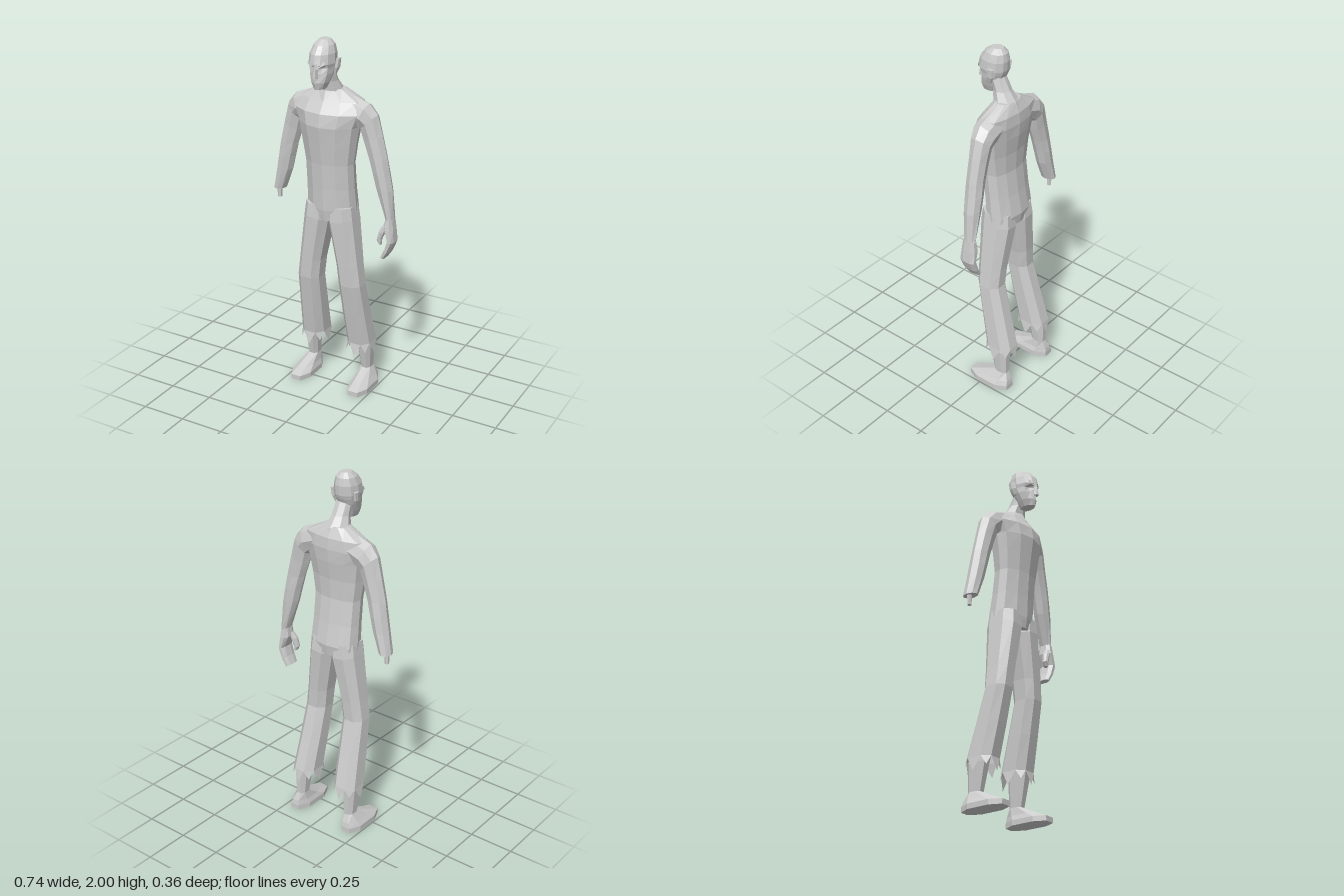
import * as THREE from 'three';

const material = new THREE.MeshStandardMaterial({ color: 0xcccccc, flatShading: true, side: THREE.DoubleSide });

// Cross-section outlines: [across, depth] from -1 to 1, going front -> left -> back -> right
const mirrored = (half) => [...half, ...half.slice(1, -1).reverse().map(([u, v]) => [-u, v])];
const ROUND = mirrored([[0, 1], [0.7, 0.72], [1, 0], [0.7, -0.72], [0, -1]]);
const BOXY = [[0.5, 1], [1, 0.5], [1, -0.5], [0.45, -1], [-0.45, -1], [-1, -0.5], [-1, 0.5], [-0.5, 1]];
const CHEST = mirrored([[0, 1], [0.5, 0.82], [0.9, 0.38], [1, -0.1], [0.9, -0.65], [0.5, -0.9], [0, -1]]);
const skull = (eye) => mirrored([[0, 1], [0.42, eye], [0.82, 0.5], [1, -0.1], [0.82, -0.65], [0.4, -0.95], [0, -1]]);

// One ring spanning from an outer to an inner point, between a front and a back depth
function ring([ox, oy, ix, iy, zf, zb], outline) {
  return outline.map(([u, v]) => new THREE.Vector3(
    (ox + ix) / 2 + (u * (ox - ix)) / 2,
    (oy + iy) / 2 + (u * (oy - iy)) / 2,
    (zf + zb) / 2 + (v * (zf - zb)) / 2));
}
const level = (y, w, zf, zb, cx = 0) => [cx + w, y, cx - w, y, zf, zb];

function meshFrom(name, triangles) {
  const geometry = new THREE.BufferGeometry().setFromPoints(triangles);
  geometry.computeVertexNormals();
  const mesh = new THREE.Mesh(geometry, material);
  mesh.name = name;
  return mesh;
}

// Skin rings listed from bottom to top; side = -1 mirrors the part across x
function loft(name, rings, { side = 1, capBottom = true, hem = 0 } = {}) {
  const r = rings.map((pts) => {
    const p = pts.map((v) => new THREE.Vector3(v.x * side, v.y, v.z));
    return side < 0 ? p.reverse() : p;
  });
  const n = r[0].length, tris = [];
  for (let k = 0; k < r.length - 1; k++) {
    for (let i = 0; i < n; i++) {
      const j = (i + 1) % n;
      const [a, b, c, d] = [r[k][i], r[k][j], r[k + 1][j], r[k + 1][i]];
      tris.push(a, b, c, a, c, d);
    }
  }
  const centre = (pts) => pts.reduce((s, p) => s.add(p), new THREE.Vector3()).divideScalar(n);
  const low = r[0], high = r[r.length - 1], cl = centre(low), ch = centre(high);
  for (let i = 0; i < n; i++) {
    const j = (i + 1) % n;
    tris.push(ch, high[i], high[j]);
    if (capBottom) tris.push(cl, low[j], low[i]);
    if (hem) {
      // torn points hanging from the lower edge
      const tip = low[i].clone().lerp(low[j], 0.5).sub(cl).multiplyScalar(1.13).add(cl);
      tip.y -= hem * (i % 2 ? 1 : 0.65);
      tris.push(low[i], tip, low[j]);
    }
  }
  return meshFrom(name, tris);
}

export function createModel() {
  const model = new THREE.Group();
  model.name = 'figure';

  // Torso: y, half width, front, back
  model.add(loft('torso', [
    [1.02, 0.142, 0.085, -0.09], [1.08, 0.142, 0.095, -0.1], [1.2, 0.138, 0.1, -0.078],
    [1.34, 0.138, 0.11, -0.06], [1.45, 0.155, 0.125, -0.065], [1.55, 0.172, 0.14, -0.08],
    [1.62, 0.2, 0.13, -0.085], [1.68, 0.18, 0.088, -0.08], [1.735, 0.075, 0.055, -0.055],
  ].map((a) => ring(level(...a), CHEST))));

  // Neck leans forward into the skull
  model.add(loft('neck', [
    [1.68, 0.1, 0.09, -0.078], [1.73, 0.065, 0.068, -0.06], [1.78, 0.048, 0.075, -0.02],
    [1.85, 0.045, 0.09, 0.02],
  ].map((a) => ring(level(...a), ROUND))));

  // Head: last number sets how far the eye and cheek line is recessed
  const head = new THREE.Group();
  head.name = 'head';
  head.position.x = -0.006;
  head.add(loft('skull', [
    [1.755, 0.03, 0.155, 0.065, 0.85], [1.79, 0.046, 0.165, 0.05, 0.8], [1.835, 0.06, 0.163, 0.025, 0.72],
    [1.865, 0.064, 0.163, 0.01, 0.62], [1.885, 0.068, 0.174, 0.003, 0.88], [1.935, 0.065, 0.163, 0, 0.86],
    [1.975, 0.052, 0.132, 0.008, 0.85], [2.0, 0.028, 0.095, 0.03, 0.85],
  ].map(([y, w, f, b, eye]) => ring(level(y, w, f, b), skull(eye)))));
  head.add(loft('nose', [
    [1.815, 0.014, 0.182, 0.14], [1.83, 0.012, 0.181, 0.14], [1.885, 0.006, 0.172, 0.14],
  ].map((a) => ring(level(...a), ROUND))));
  for (const side of [1, -1]) {
    head.add(loft('ear', [
      [1.825, 0.006, 0.075, 0.055, 0.062], [1.86, 0.011, 0.08, 0.035, 0.069], [1.905, 0.01, 0.07, 0.03, 0.073],
    ].map((a) => ring(level(...a), ROUND)), { side }));
    // frowning brow ridge
    head.add(meshFrom('brow', [
      [0.006, 1.862, 0.176], [0.05, 1.888, 0.15], [0.045, 1.905, 0.148],
      [0.006, 1.862, 0.176], [0.045, 1.905, 0.148], [0.006, 1.89, 0.173],
    ].map(([x, y, z]) => new THREE.Vector3(x * side, y, z))));
  }
  model.add(head);

  // Arms: outer x, y, inner x, y, front, back
  const arm = [
    [0.35, 1.22, 0.255, 1.235, 0.025, -0.065], [0.335, 1.3, 0.235, 1.315, 0.03, -0.065],
    [0.32, 1.39, 0.213, 1.39, 0.032, -0.06], [0.292, 1.51, 0.185, 1.47, 0.036, -0.06],
    [0.262, 1.62, 0.168, 1.53, 0.045, -0.065], [0.215, 1.675, 0.155, 1.54, 0.062, -0.07],
    [0.08, 1.725, 0.1, 1.56, 0.07, -0.07],
  ];
  const armRings = (list) => list.map((a) => ring(a, ROUND));
  model.add(loft('leftArm', armRings([[0.36, 1.05, 0.316, 1.06, 0.012, -0.062], ...arm])));
  model.add(loft('rightArm', armRings([[0.37, 1.11, 0.302, 1.115, 0.018, -0.068], ...arm]), { side: -1 }));

  // Left hand with curled fingers and a thumb
  model.add(loft('leftHand', [
    [0.318, 0.835, 0.296, 0.845, 0.015, -0.065], [0.345, 0.875, 0.318, 0.89, 0.02, -0.07],
    [0.37, 0.935, 0.334, 0.945, 0.022, -0.07], [0.365, 1.0, 0.31, 1.01, 0.018, -0.068],
    [0.358, 1.06, 0.317, 1.065, 0.01, -0.06],
  ].map((a) => ring(a, BOXY))));
  model.add(loft('leftThumb', armRings([
    [0.302, 0.915, 0.288, 0.922, 0.018, -0.008], [0.306, 0.95, 0.275, 0.945, 0.022, -0.012],
    [0.322, 0.985, 0.287, 0.995, 0.022, -0.02], [0.335, 1.025, 0.31, 1.03, 0.012, -0.025],
  ])));

  // Bone stub in place of the right hand
  const bone = new THREE.Mesh(new THREE.CylinderGeometry(0.014, 0.012, 0.09, 6), material);
  bone.name = 'rightArmBone';
  bone.position.set(-0.343, 1.1, -0.025);
  model.add(bone);

  for (const side of [1, -1]) {
    // Trouser leg with a ragged hem
    model.add(loft('trouserLeg', [
      [0.215, 0.275, 0.075, 0.275, 0.0, -0.165], [0.203, 0.46, 0.068, 0.46, 0.036, -0.115],
      [0.192, 0.65, 0.062, 0.65, 0.07, -0.065], [0.178, 0.76, 0.05, 0.76, 0.075, -0.07],
      [0.145, 1.03, 0.0, 1.01, 0.086, -0.094], [0.136, 1.1, 0.0, 1.1, 0.08, -0.085],
    ].map((a) => ring(a, BOXY)), { side, capBottom: false, hem: 0.075 }));

    // Shin running down into the foot
    model.add(loft('shinAndFoot', [
      [0.242, 0, 0.125, 0, 0.095, -0.165], [0.242, 0.028, 0.125, 0.028, 0.095, -0.165],
      [0.225, 0.055, 0.135, 0.055, 0.03, -0.16], [0.2, 0.1, 0.142, 0.1, -0.065, -0.142],
      [0.21, 0.25, 0.13, 0.25, -0.035, -0.145], [0.2, 0.4, 0.12, 0.4, 0.0, -0.1],
    ].map((a) => ring(a, BOXY)), { side }));
  }
  return model;
}
